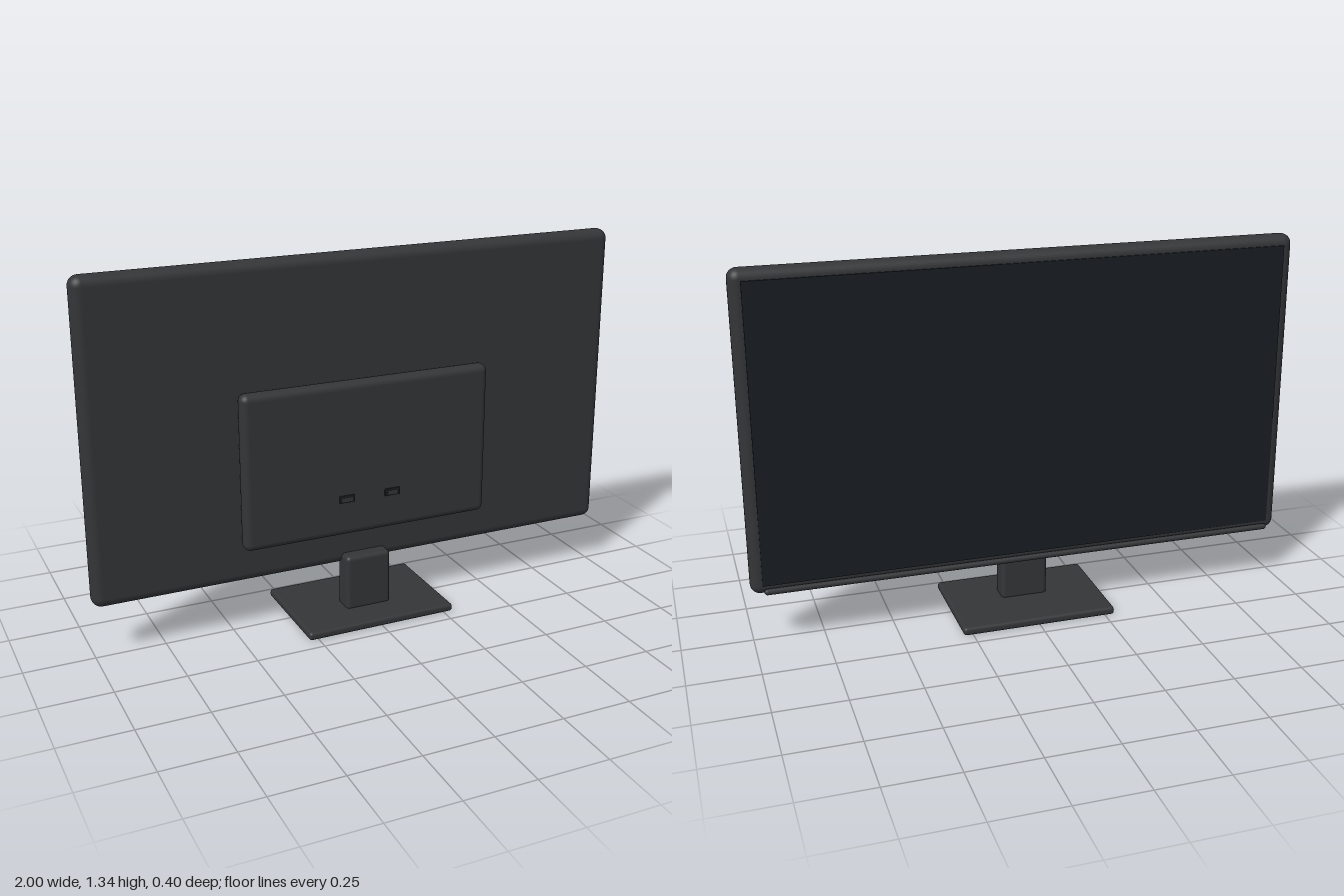
import * as THREE from 'three';
import { RoundedBoxGeometry } from 'three/addons/geometries/RoundedBoxGeometry.js';

export function createModel() {
  const model = new THREE.Group();
  model.name = 'monitor';

  const material = (color) => new THREE.MeshStandardMaterial({ color });
  const casing = material(0x333537);
  const glass = material(0x181d23);
  const dark = material(0x1c1d1e);

  const add = (name, geometry, mat, x, y, z) => {
    const mesh = new THREE.Mesh(geometry, mat);
    mesh.name = name;
    mesh.position.set(x, y, z);
    model.add(mesh);
    return mesh;
  };

  // Rounded box given by its [min, max] range on each axis
  const block = (name, [x0, x1], [y0, y1], [z0, z1], radius, mat = casing) =>
    add(name, new RoundedBoxGeometry(x1 - x0, y1 - y0, z1 - z0, 5, radius), mat,
      (x0 + x1) / 2, (y0 + y1) / 2, (z0 + z1) / 2);

  // Display body, with the screen on the -z side
  block('displayHousing', [-1, 1], [0.19, 1.335], [-0.05, 0.028], 0.035);
  add('screen', new THREE.BoxGeometry(1.92, 1.07, 0.02), glass, 0, 0.763, -0.045);

  // Thin rounded trim under the screen
  const trim = add('lowerTrim', new THREE.CapsuleGeometry(0.011, 1.89, 6, 16), casing, 0, 0.208, -0.06);
  trim.rotation.z = Math.PI / 2;

  // Electronics cover and its two ports on the +z side
  block('electronicsCover', [-0.472, 0.472], [0.325, 0.895], [0.024, 0.083], 0.026);
  for (const side of [-1, 1]) {
    const x = side * 0.089;
    block('portFrame', [x - 0.03, x + 0.03], [0.454, 0.481], [0.075, 0.089], 0.003, dark);
    block('portInsert', [x - 0.022, x + 0.022], [0.456, 0.473], [0.077, 0.09], 0.003);
  }

  // Stand
  block('standNeck', [-0.087, 0.087], [0.02, 0.233], [-0.006, 0.078], 0.016);
  block('standBase', [-0.285, 0.285], [0, 0.03], [-0.2, 0.2], 0.012);

  return model;
}
